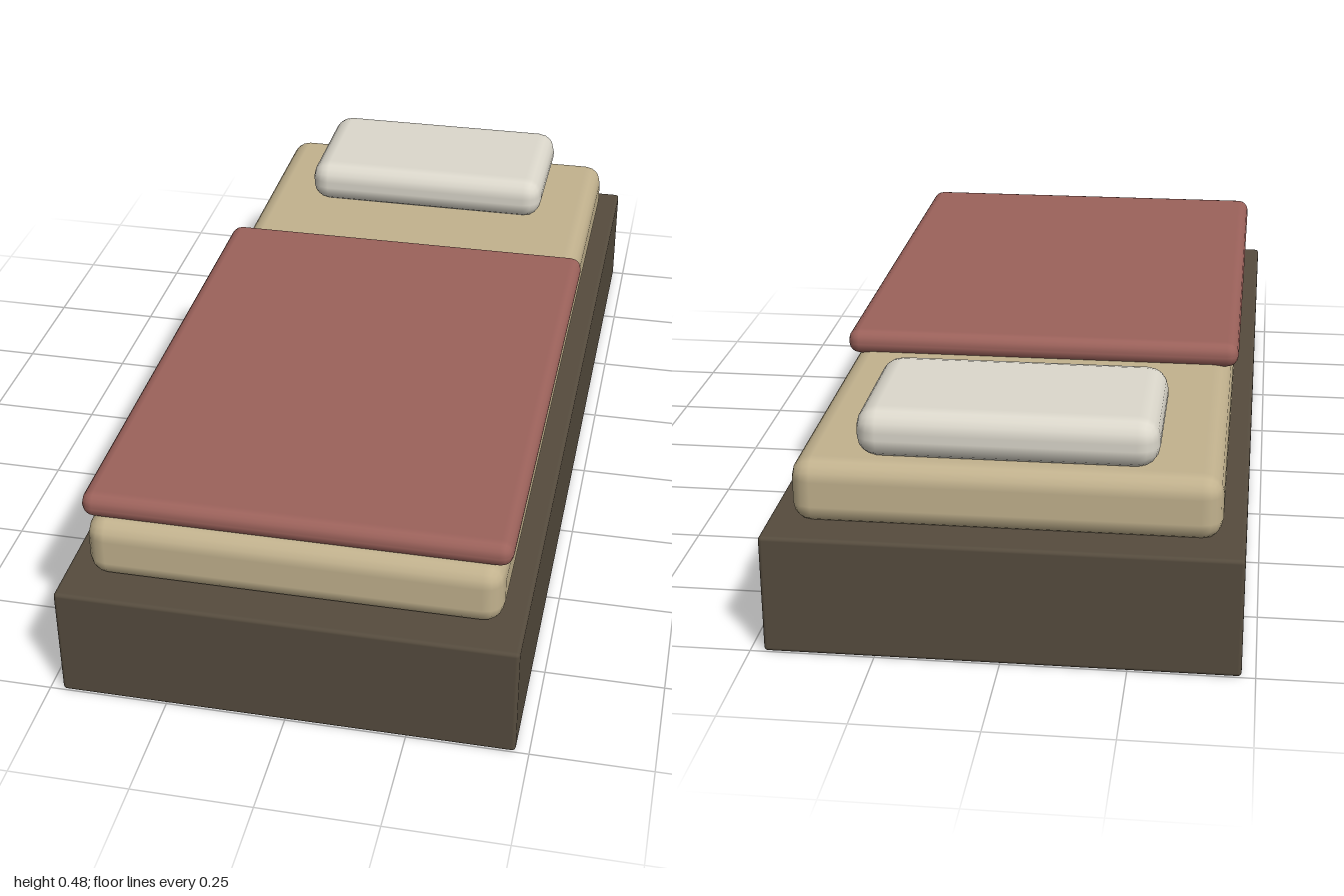
import * as THREE from 'three';
import { RoundedBoxGeometry } from 'three/addons/geometries/RoundedBoxGeometry.js';

const material = (name, color) => {
  const m = new THREE.MeshStandardMaterial({ color });
  m.name = name;
  return m;
};

// Softened box given by its x width, y range, z range and edge radius
function softBox(name, mat, width, [y0, y1], [z0, z1], radius) {
  const geometry = new RoundedBoxGeometry(width, y1 - y0, z1 - z0, 2, radius);
  const mesh = new THREE.Mesh(geometry, mat);
  mesh.name = name;
  mesh.position.set(0, (y0 + y1) / 2, (z0 + z1) / 2);
  return mesh;
}

export function createModel() {
  const group = new THREE.Group();
  group.name = 'bed';

  const wood = material('dark wood', 0x564c3e);
  const linen = material('beige linen', 0xc2b28e);
  const wool = material('red wool', 0x9c625b);
  const cotton = material('off-white cotton', 0xdcd8cc);

  group.add(
    // Solid plinth with barely eased edges
    softBox('bedBase', wood, 0.945, [0, 0.25], [-1, 1], 0.008),
    // Mattress, sunk slightly into the base
    softBox('mattress', linen, 0.853, [0.242, 0.378], [-0.925, 0.925], 0.042),
    // Blanket over the foot end
    softBox('blanket', wool, 0.878, [0.37, 0.426], [-0.3, 0.9], 0.026),
    // Pillow at the head end
    softBox('pillow', cotton, 0.6, [0.375, 0.478], [-0.897, -0.548], 0.044),
  );
  return group;
}
